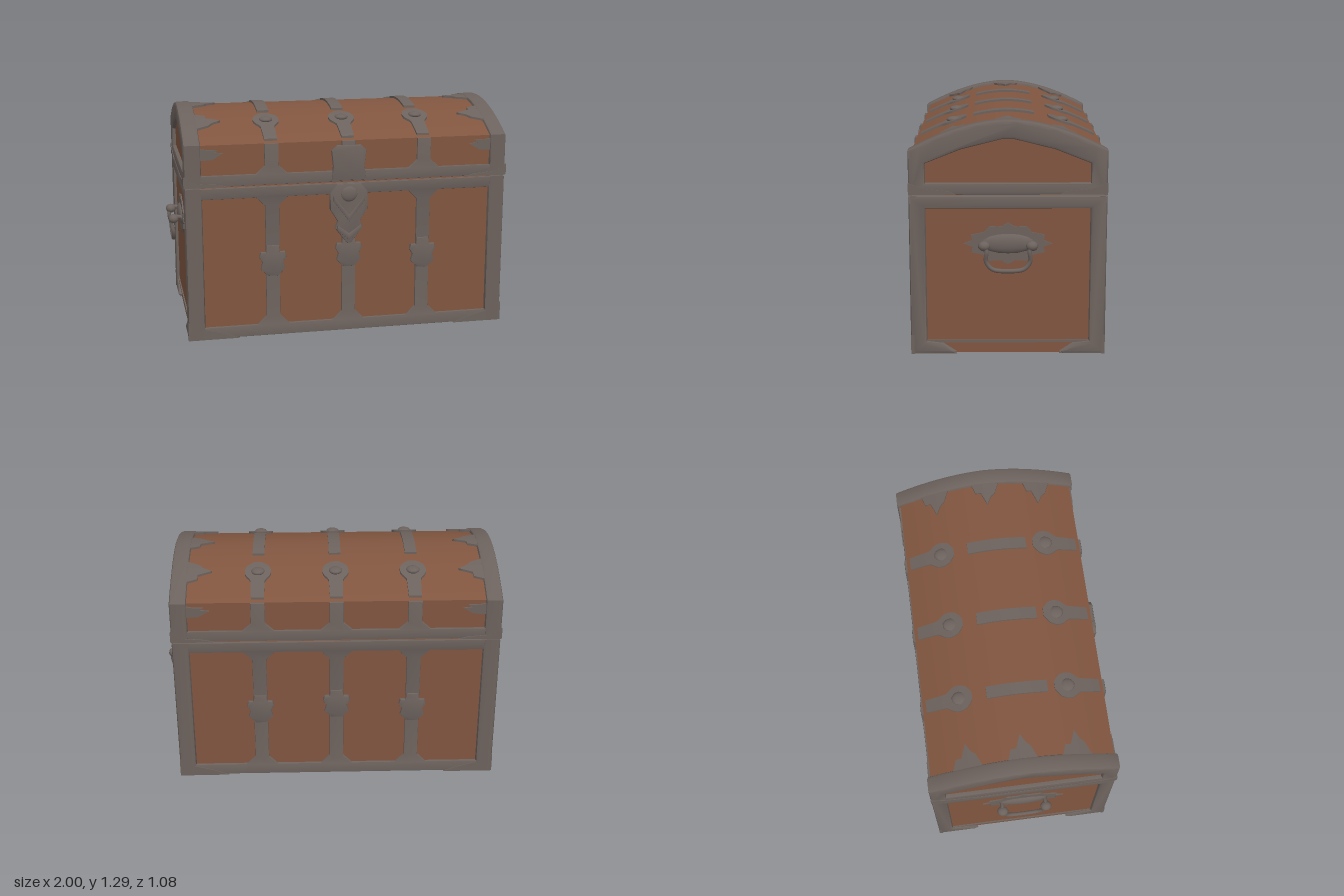
import * as THREE from 'three';
import { toCreasedNormals } from 'three/addons/utils/BufferGeometryUtils.js';

const wood = new THREE.MeshStandardMaterial({ color: 0x80553f });
wood.name = 'wood';
const iron = new THREE.MeshStandardMaterial({ color: 0x6c625d });
iron.name = 'iron';

const STRAPS = [-0.44, 0, 0.44];
const W = 0.04; // half width of a strap

function add(parent, name, geometry, material = iron) {
  const mesh = new THREE.Mesh(geometry, material);
  mesh.name = name;
  parent.add(mesh);
  return mesh;
}
const shapeOf = (pts) => new THREE.Shape(pts.map(([x, y]) => new THREE.Vector2(x, y)));
const mirrored = (half) => [...half, ...half.map(([x, y]) => [-x, y]).reverse()];

// Plate in the xy plane, from z0 to z1, with optional softened edges
function plate(pts, z0, z1, bevel = 0, holes = []) {
  const shape = shapeOf(pts);
  for (const h of holes) shape.holes.push(shapeOf(h));
  const g = new THREE.ExtrudeGeometry(shape, {
    depth: z1 - z0 - bevel, bevelEnabled: bevel > 0, bevelSize: bevel,
    bevelThickness: bevel, bevelOffset: -bevel, bevelSegments: 2,
  });
  g.translate(0, 0, z0);
  return toCreasedNormals(g, 0.7);
}

// Height of the domed lid
const roofY = (z, top = 1.272, drop = 0.147, half = 0.51) =>
  top - drop * Math.pow(Math.min(1, Math.abs(z) / half), 1.8);

function archPoints(half, y0, top, drop) {
  const pts = [[-half, y0], [half, y0]];
  for (let i = 0; i <= 20; i++) {
    const z = half * (1 - i / 10);
    pts.push([z, roofY(z, top, drop, half)]);
  }
  return pts;
}

// Thin plate that follows the dome; rows are [z, xMin, xMax] with z rising
function roofPlate(rows, thick = 0.012) {
  const g = new THREE.BoxGeometry(1, 1, 1, 1, 1, 16);
  const p = g.attributes.position;
  const zA = rows[0][0], zB = rows[rows.length - 1][0];
  for (let i = 0; i < p.count; i++) {
    const z = zA + (zB - zA) * (p.getZ(i) + 0.5);
    let k = 0;
    while (k < rows.length - 2 && z > rows[k + 1][0]) k++;
    const [a, b] = [rows[k], rows[k + 1]];
    const t = (z - a[0]) / (b[0] - a[0]);
    const x0 = a[1] + (b[1] - a[1]) * t, x1 = a[2] + (b[2] - a[2]) * t;
    p.setXYZ(i, p.getX(i) < 0 ? x0 : x1, roofY(z) + (p.getY(i) < 0 ? -0.01 : thick), z);
  }
  g.computeVertexNormals();
  return g;
}

// Ironwork of one long side, facing +z
function longSide(name) {
  const group = new THREE.Group();
  group.name = name;
  // Body frame with four cut-out panels, flared where straps meet the bands
  const edges = [-0.85, ...STRAPS.flatMap((x) => [x - W, x + W]), 0.85];
  const holes = [];
  for (let i = 0; i < 8; i += 2) {
    const a = edges[i], b = edges[i + 1];
    const ca = i === 0 ? 0.012 : 0.05, cb = i === 6 ? 0.012 : 0.05;
    holes.push([[a + ca, 0.07], [b - cb, 0.07], [b, 0.07 + cb], [b, 0.82 - cb],
      [b - cb, 0.82], [a + ca, 0.82], [a, 0.82 - ca], [a, 0.07 + ca]]);
  }
  add(group, 'bodyFrame', plate([[-0.925, 0.002], [0.925, 0.002], [0.925, 0.883], [-0.925, 0.883]],
    0.49, 0.524, 0.006, holes));

  // Lid band with rising straps
  const band = [[-0.925, 0.892], [0.925, 0.892], [0.925, 0.955]];
  for (const x of [...STRAPS].reverse()) {
    band.push([x + W + 0.05, 0.955], [x + W, 1.0], [x + W, 1.125],
      [x - W, 1.125], [x - W, 1.0], [x - W - 0.05, 0.955]);
  }
  band.push([-0.925, 0.955]);
  add(group, 'lidBand', plate(band, 0.49, 0.524, 0.005));

  // Knotted strap ornaments
  STRAPS.forEach((x) => {
    const y = x === 0 ? 0.48 : 0.45;
    const knot = mirrored([[0.03, -0.09], [0.07, -0.05], [0.06, -0.01], [0.078, 0.02],
      [0.07, 0.05], [0.04, 0.05], [0.035, 0.09]]);
    add(group, 'strapKnot', plate(knot, 0.51, 0.53, 0.006)).position.set(x, y, 0);
  });

  for (const s of [-1, 1]) {
    // Leaf-shaped tips on the lid corners and pointed plates along the seam
    const leaf = [[0.87, 1.04], [0.77, 1.045], [0.71, 1.08], [0.76, 1.085],
      [0.74, 1.1], [0.8, 1.1], [0.87, 1.115]];
    const tip = [[0.93, 0.89], [0.69, 0.892], [0.74, 0.905], [0.86, 0.915], [0.93, 0.95]];
    const foot = [[0.93, 0], [0.64, 0], [0.72, 0.03], [0.85, 0.065], [0.93, 0.11]];
    add(group, 'lidLeaf', plate(leaf.map(([x, y]) => [x * s, y]), 0.5, 0.52));
    add(group, 'seamTip', plate(tip.map(([x, y]) => [x * s, y]), 0.51, 0.531));
    add(group, 'footPlate', plate(foot.map(([x, y]) => [x * s, y]), 0.51, 0.529));
  }
  return group;
}

// Ironwork and handle of one short end, facing +z before turning
function shortEnd(name) {
  const group = new THREE.Group();
  group.name = name;
  add(group, 'endFrame', plate(mirrored([[0.53, 0.885], [0.53, 0], [0.3, 0], [0.28, 0.012],
    [0.36, 0.065], [0.44, 0.075], [0.44, 0.815]]).slice(0), 0.85, 0.93, 0.018));
  add(group, 'lowerBar', new THREE.BoxGeometry(0.9, 0.014, 0.02)).position.set(0, 0.07, 0.908);
  const panel = mirrored([[0.44, 0.955], [0.44, 1.06], [0.25, 1.135], [0.03, 1.19]]);
  add(group, 'lidRim', plate(archPoints(0.53, 0.892, 1.29, 0.16), 0.85, 0.93, 0.016, [panel]));
  for (const s of [-1, 1]) {
    const tip = [[0.53, 0.893], [0.28, 0.895], [0.31, 0.912], [0.44, 0.925], [0.53, 0.955]];
    add(group, 'endSeamTip', plate(tip.map(([x, y]) => [x * s, y]), 0.91, 0.934));
  }

  // Star-edged handle plate
  const star = [];
  for (let i = 0; i < 24; i++) {
    const a = (i / 24) * Math.PI * 2, r = i % 2 ? 0.84 : 1;
    const c = Math.cos(a), s = Math.sin(a);
    star.push([0.238 * r * Math.sign(c) * Math.pow(Math.abs(c), 1.25),
      0.622 + 0.115 * r * Math.sign(s) * Math.pow(Math.abs(s), 1.25)]);
  }
  add(group, 'handlePlate', plate(star, 0.9, 0.918));
  const boss = add(group, 'handleBoss', new THREE.SphereGeometry(1, 14, 8));
  boss.scale.set(0.15, 0.055, 0.025);
  boss.position.set(0, 0.622, 0.915);

  // Hanging bail
  const half = [[0.125, 0.625, 0.91], [0.128, 0.632, 0.965], [0.115, 0.595, 0.982],
    [0.118, 0.54, 0.972], [0.085, 0.495, 0.97]];
  const path = [...half, [0, 0.484, 0.97], ...half.map(([x, y, z]) => [-x, y, z]).reverse()];
  add(group, 'handleBail', new THREE.TubeGeometry(
    new THREE.CatmullRomCurve3(path.map((p) => new THREE.Vector3(...p))), 48, 0.012, 8));
  for (const s of [-1, 1]) {
    const knob = add(group, 'handleKnob', new THREE.SphereGeometry(0.03, 10, 8));
    knob.scale.set(1.1, 0.9, 1);
    knob.position.set(0.128 * s, 0.622, 0.97);
  }
  return group;
}

export function createModel() {
  const model = new THREE.Group();
  model.name = 'chest';

  // Wooden body and domed lid
  add(model, 'woodBody', new THREE.BoxGeometry(1.82, 0.88, 1.02), wood).position.y = 0.444;
  const lid = plate(archPoints(0.51, 0.888, 1.272, 0.147), -0.905, 0.905);
  add(model, 'woodLid', lid.rotateY(Math.PI / 2), wood);

  // Iron on the long sides and ends
  const back = longSide('backIron');
  back.rotation.y = Math.PI;
  const left = shortEnd('leftEnd'), right = shortEnd('rightEnd');
  left.rotation.y = Math.PI / 2;
  right.rotation.y = -Math.PI / 2;
  model.add(longSide('frontIron'), back, left, right);

  // Straps over the dome
  for (const x of STRAPS) {
    const strip = (rows) => roofPlate(rows.map(([z, w]) => [z, x - w, x + w]));
    const end = [[0.23, 0.022], [0.26, 0.062], [0.3, 0.076], [0.335, 0.07], [0.37, 0.04], [0.49, 0.036]];
    add(model, 'lidStrapMiddle', strip([[-0.15, 0.034], [0.19, 0.034]]));
    add(model, 'lidStrapFront', strip(end));
    add(model, 'lidStrapBack', strip(end.map(([z, w]) => [-z, w]).reverse()));
    for (const s of [-1, 1]) {
      const stud = add(model, 'lidStud', new THREE.SphereGeometry(1, 10, 8));
      stud.scale.set(0.04, 0.018, 0.045);
      stud.position.set(x, roofY(0.3) + 0.008, 0.3 * s);
    }
  }

  // Leaf tips reaching in from the lid rims
  for (const z of [-0.3, 0, 0.3]) {
    const leaf = [[-0.08, 0.84], [-0.06, 0.78], [-0.03, 0.78], [0, 0.7],
      [0.025, 0.75], [0.05, 0.77], [0.08, 0.84]];
    add(model, 'leftLidLeaf', roofPlate(leaf.map(([d, x]) => [z + d, x, 0.88])));
    add(model, 'rightLidLeaf', roofPlate(leaf.map(([d, x]) => [z + d, -0.88, -x])));
  }

  // Lock: hasp on the lid, shield with raised chevrons on the body
  const lock = new THREE.Group();
  lock.name = 'lock';
  add(lock, 'hasp', plate(mirrored([[0.1, 0.9], [0.09, 0.98], [0.1, 1.07], [0.07, 1.1]]), 0.5, 0.533, 0.006));
  add(lock, 'shield', plate(mirrored([[0.012, 0.53], [0.08, 0.62], [0.065, 0.66], [0.108, 0.73],
    [0.11, 0.83], [0.07, 0.88]]), 0.5, 0.535, 0.008));
  for (const [y, w, h] of [[0.55, 0.07, 0.06], [0.66, 0.09, 0.12]]) {
    add(lock, 'chevron', plate([[0, y], [w, y + h], [w, y + h + 0.03], [0, y + 0.04],
      [-w, y + h + 0.03], [-w, y + h]], 0.53, 0.543, 0.004));
  }
  const brow = add(lock, 'lockBoss', new THREE.SphereGeometry(1, 12, 8));
  brow.scale.set(0.05, 0.045, 0.015);
  brow.position.set(0, 0.82, 0.532);
  model.add(lock);

  // Corner plates under the base
  for (const sx of [-1, 1]) for (const sz of [-1, 1]) {
    const pts = [[0.92, 0.52], [0.66, 0.52], [0.8, 0.42], [0.92, 0.28]].map(([x, z]) => [x * sx, z * sz]);
    add(model, 'baseCorner', plate(pts, -0.006, 0).rotateX(Math.PI / 2));
  }
  return model;
}
